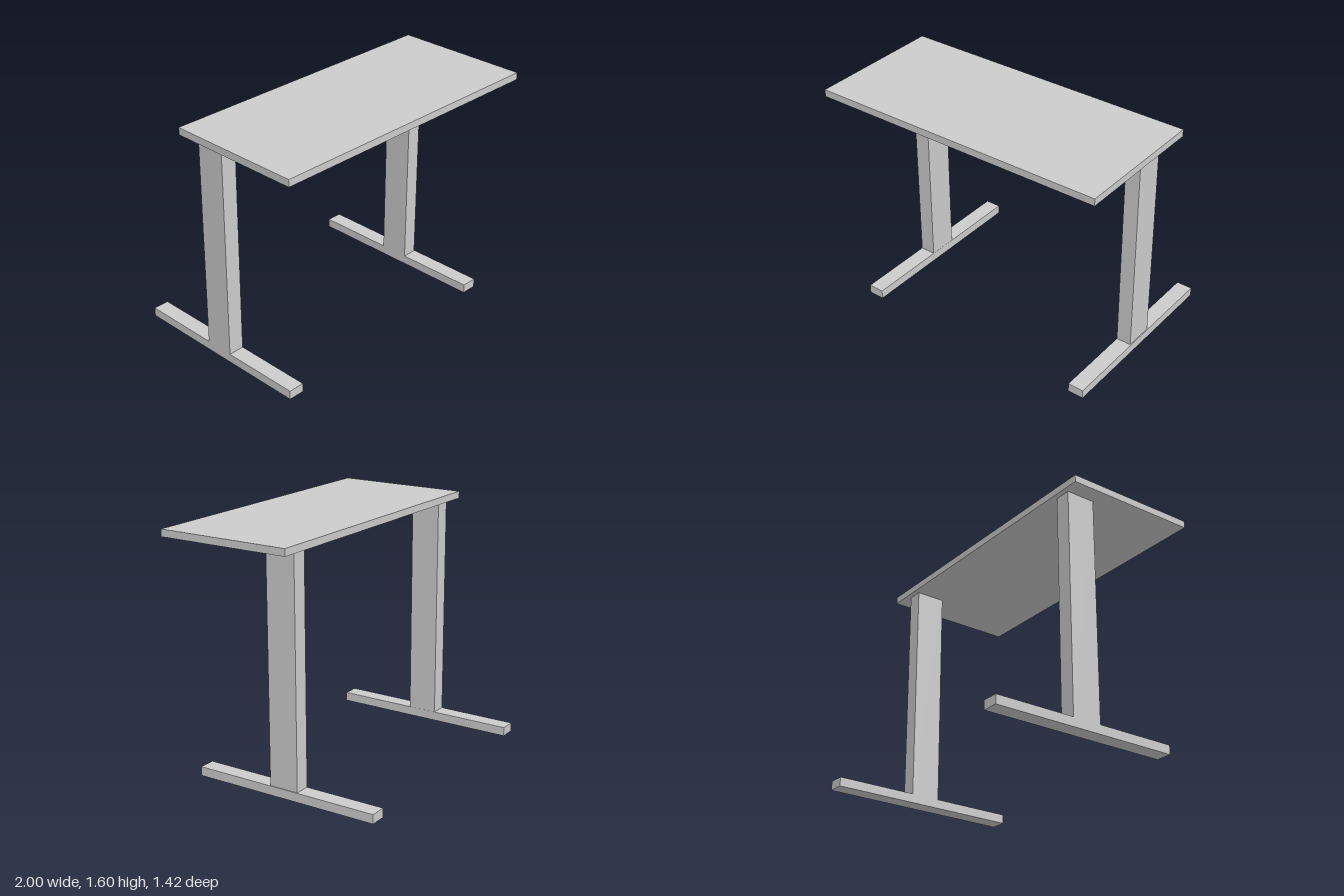
import * as THREE from 'three';

const material = new THREE.MeshStandardMaterial({ color: 0xcccccc, flatShading: true });

// Box given by its extents along each axis
function slab(name, [x0, x1], [y0, y1], [z0, z1]) {
  const mesh = new THREE.Mesh(new THREE.BoxGeometry(x1 - x0, y1 - y0, z1 - z0), material);
  mesh.position.set((x0 + x1) / 2, (y0 + y1) / 2, (z0 + z1) / 2);
  mesh.name = name;
  return mesh;
}

export function createModel() {
  const desk = new THREE.Group();
  desk.name = 'desk';

  // Desktop, overhanging to the front
  desk.add(slab('desktop', [-1, 1], [1.55, 1.597], [-0.2, 0.71]));

  // T-shaped supports: a column standing on a long foot
  const supports = [
    { side: 'right', column: [-0.887, -0.78], foot: [-0.887, -0.779] },
    { side: 'left', column: [0.765, 0.867], foot: [0.765, 0.873] },
  ];
  for (const { side, column, foot } of supports) {
    const support = new THREE.Group();
    support.name = `${side}Support`;
    support.add(
      slab(`${side}Column`, column, [0.06, 1.55], [-0.165, 0.035]),
      slab(`${side}Foot`, foot, [0, 0.06], [-0.71, 0.575]),
    );
    desk.add(support);
  }
  return desk;
}
